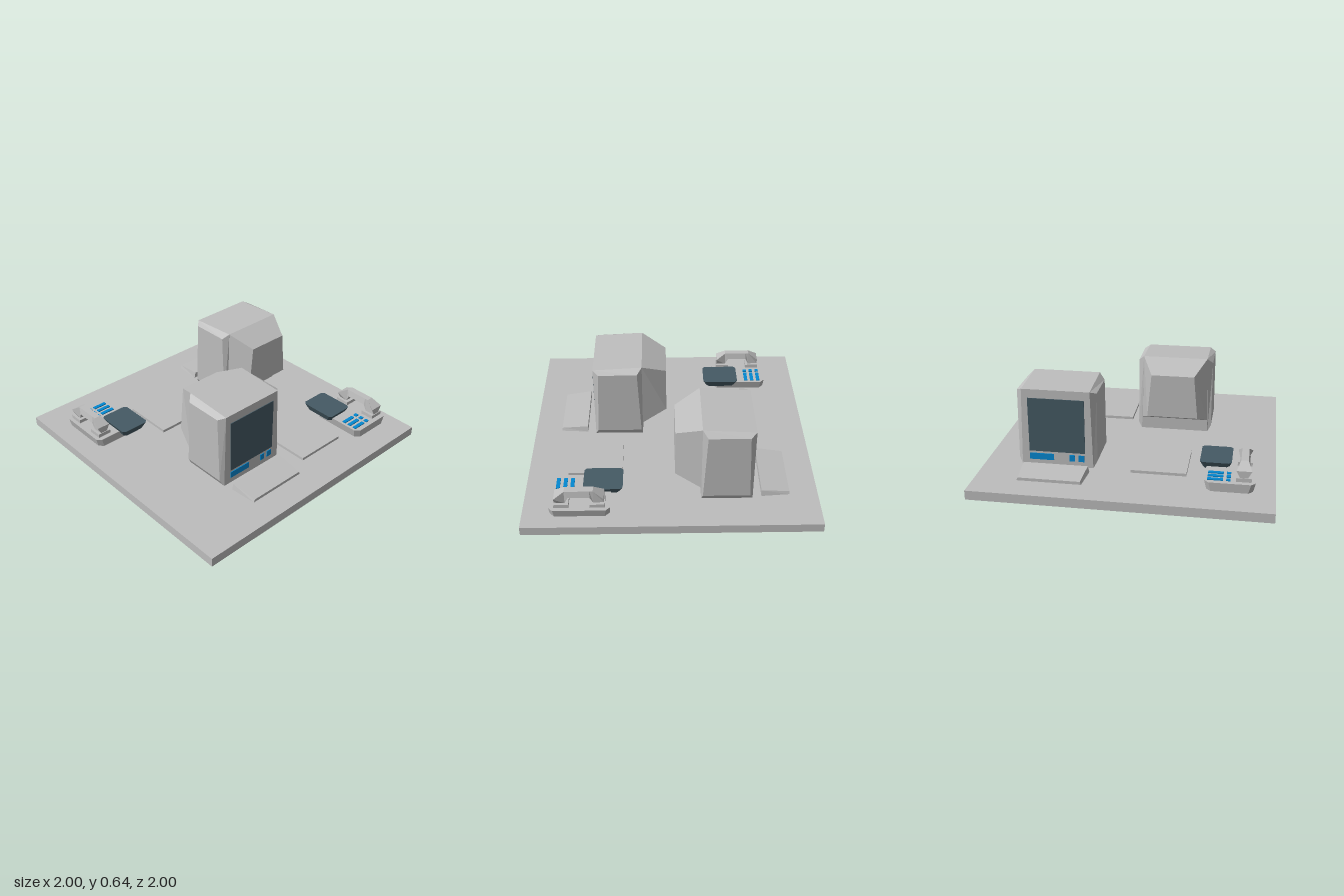
import * as THREE from 'three';

const grey = new THREE.MeshStandardMaterial({ name: 'light grey', color: 0xbdbdbd });
const slate = new THREE.MeshStandardMaterial({ name: 'dark slate', color: 0x455a64 });
const blue = new THREE.MeshStandardMaterial({ name: 'bright blue', color: 0x0288d1 });

const TOP = 0.065; // height of the desk top

function mesh(name, geometry, material, parent) {
  const m = new THREE.Mesh(geometry, material);
  m.name = name;
  parent.add(m);
  return m;
}

function box(name, parent, material, [x0, x1], [y0, y1], [z0, z1]) {
  const m = mesh(name, new THREE.BoxGeometry(x1 - x0, y1 - y0, z1 - z0), material, parent);
  m.position.set((x0 + x1) / 2, (y0 + y1) / 2, (z0 + z1) / 2);
  return m;
}

// Faceted loft through rings of equal length; rings run counter-clockwise seen from the last one.
function loft(rings) {
  const out = [];
  const quad = (a, b, c, d) => out.push(...a, ...b, ...c, ...a, ...c, ...d);
  const n = rings[0].length;
  for (let k = 0; k + 1 < rings.length; k++) {
    for (let i = 0; i < n; i++) {
      const j = (i + 1) % n;
      quad(rings[k][i], rings[k][j], rings[k + 1][j], rings[k + 1][i]);
    }
  }
  // Caps are strips of quads across the ring
  const first = rings[0], last = rings[rings.length - 1];
  for (let i = 0; i < n / 2 - 1; i++) {
    quad(last[i], last[i + 1], last[n - 2 - i], last[n - 1 - i]);
    quad(first[n - 1 - i], first[n - 2 - i], first[i + 1], first[i]);
  }
  const g = new THREE.BufferGeometry();
  g.setAttribute('position', new THREE.Float32BufferAttribute(out, 3));
  g.computeVertexNormals();
  return g;
}

// Four-sided section standing across z
const trapezoid = (z, top, wTop, bottom, wBottom) =>
  [[wTop, top, z], [-wTop, top, z], [-wBottom, bottom, z], [wBottom, bottom, z]];

// Flat slab with cut corners whose sides lean in towards the bottom
function flaredSlab(w, d, y0, y1, cut, inX, inZ) {
  const ring = (y, a, b) => [
    [a, y, b - cut], [a, y, cut - b], [a - cut, y, -b], [cut - a, y, -b],
    [-a, y, cut - b], [-a, y, b - cut], [cut - a, y, b], [a - cut, y, b],
  ];
  return loft([ring(y0, w / 2 - inX, d / 2 - inZ), ring(y1, w / 2, d / 2)]);
}

function createComputer() {
  const g = new THREE.Group();
  g.name = 'computer';
  // Monitor shell: the side corners sit back from the front and rear faces
  const shellRing = (topY, zTop, zSideTop, zSideLow, zLow) => [
    [0.275, 0.6, zSideTop], [0.235, topY, zTop], [-0.235, topY, zTop], [-0.275, 0.6, zSideTop],
    [-0.275, 0.11, zSideLow], [-0.25, TOP, zLow], [0.25, TOP, zLow], [0.275, 0.11, zSideLow],
  ];
  mesh('monitorShell', loft([
    shellRing(0.64, 0.2, 0.235, 0.21, 0.2),
    shellRing(0.62, 0.55, 0.51, 0.53, 0.55),
  ]), grey, g);
  mesh('monitorBack', loft([
    trapezoid(0.025, 0.555, 0.155, 0.235, 0.185),
    trapezoid(0.2, 0.64, 0.235, 0.155, 0.245),
  ]), grey, g);

  // Screen, drive slot and buttons
  const front = [0.546, 0.555];
  box('screen', g, slate, [-0.195, 0.195], [0.17, 0.558], front);
  box('driveSlot', g, blue, [-0.195, -0.025], [0.107, 0.153], front);
  box('button', g, blue, [0.085, 0.122], [0.107, 0.153], front);
  box('button', g, blue, [0.148, 0.188], [0.107, 0.153], front);

  // Wedge keyboard
  mesh('keyboard', loft([
    trapezoid(0.612, 0.108, 0.225, TOP, 0.235),
    trapezoid(0.805, 0.086, 0.212, TOP, 0.22),
  ]), grey, g);
  return g;
}

function createPhone() {
  const g = new THREE.Group();
  g.name = 'phone';
  const body = flaredSlab(0.335, 0.41, TOP, 0.13, 0.03, 0.016, 0.006);
  mesh('phoneBody', body, grey, g);

  // Raised dark panel overhanging the corner
  const panel = mesh('phonePanel', flaredSlab(0.215, 0.268, 0.11, 0.165, 0.018, 0.025, 0.025), slate, g);
  panel.position.set(-0.106, 0, -0.15);

  // Handset, arched along z, and its two rests
  mesh('handset', loft([
    trapezoid(-0.165, 0.205, 0.05, 0.155, 0.025),
    trapezoid(-0.095, 0.25, 0.024, 0.155, 0.03),
    trapezoid(-0.072, 0.25, 0.024, 0.203, 0.034),
    trapezoid(0.072, 0.25, 0.024, 0.203, 0.034),
    trapezoid(0.095, 0.25, 0.024, 0.155, 0.03),
    trapezoid(0.165, 0.205, 0.05, 0.155, 0.025),
  ]), grey, g).position.x = 0.09;
  for (const s of [-1, 1]) {
    const rest = mesh('handsetRest', new THREE.BoxGeometry(0.1, 0.027, 0.1), grey, g);
    rest.position.set(0.09, 0.143, s * 0.12);
  }

  // Three rows of keys
  for (const z of [0.06, 0.108, 0.157]) {
    box('wideKey', g, blue, [-0.148, -0.046], [0.128, 0.137], [z - 0.013, z + 0.013]);
    box('smallKey', g, blue, [-0.024, 0.003], [0.128, 0.137], [z - 0.013, z + 0.013]);
  }
  return g;
}

function createPad() {
  const g = new THREE.Group();
  g.name = 'paperPad';
  box('paper', g, grey, [-0.19, 0.19], [TOP, 0.085], [-0.19, 0.19]);
  return g;
}

export function createModel() {
  const model = new THREE.Group();
  model.name = 'doubleDesk';
  box('deskTop', model, grey, [-1, 1], [0, TOP], [-1, 1]);

  // Two facing workplaces: x, z and turn of each item
  const place = (item, x, z, turn) => {
    item.position.set(x, 0, z);
    item.rotation.y = turn;
    model.add(item);
  };
  place(createComputer(), -0.235, 0, 0);
  place(createPad(), 0.298, 0.53, 0);
  place(createPhone(), 0.745, 0.613, 0);
  place(createComputer(), 0.488, 0, Math.PI);
  place(createPad(), -0.215, -0.388, Math.PI);
  place(createPhone(), -0.702, -0.56, Math.PI);
  return model;
}
